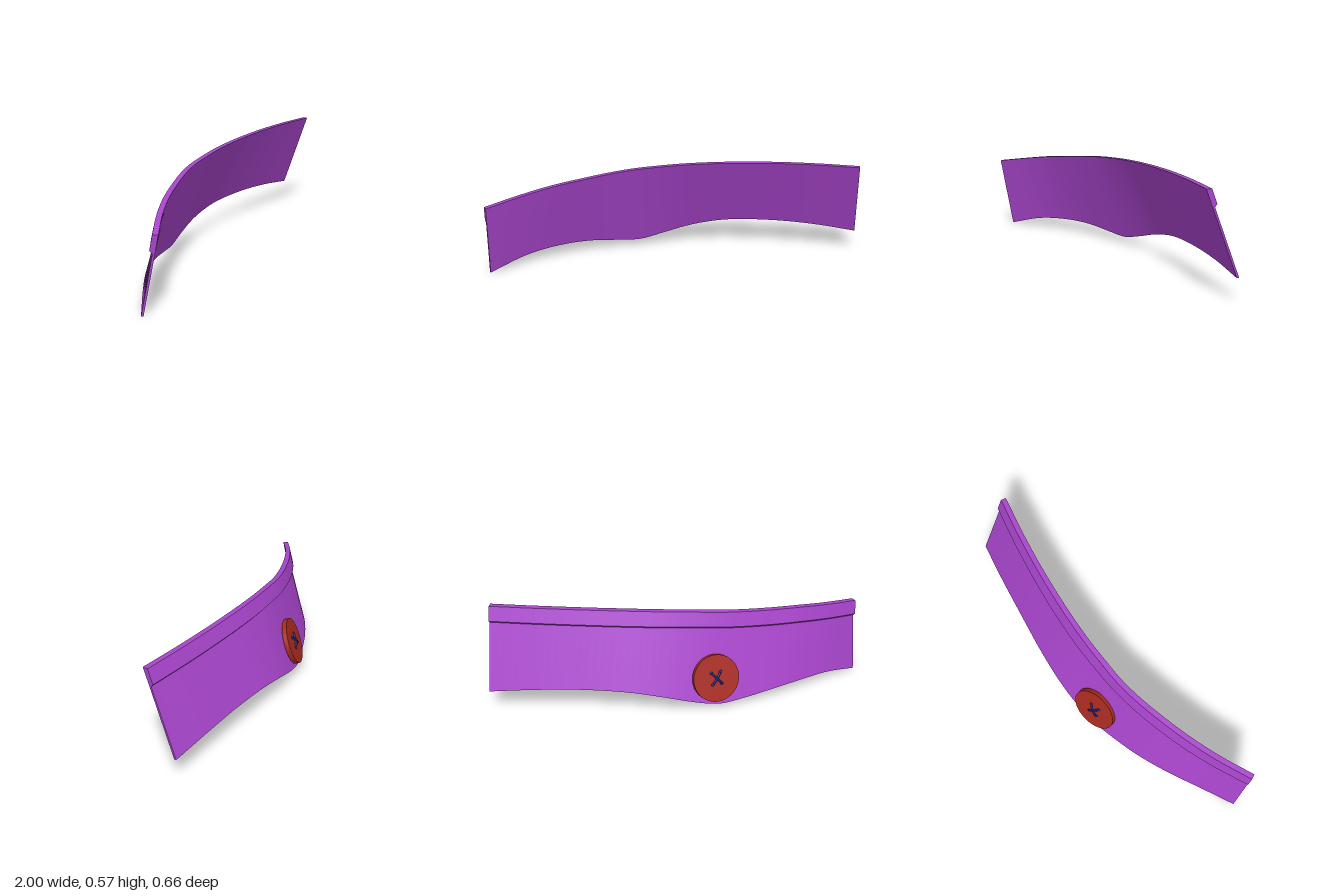
import * as THREE from 'three';
import { toCreasedNormals } from 'three/addons/utils/BufferGeometryUtils.js';

// Stations along the strap: front top edge xyz, front bottom edge xyz
const STATIONS = [
  [-0.965, 0.413, 0.328, -0.992, 0.002, 0.248],
  [-0.8, 0.447, 0.21, -0.83, 0.055, 0.115],
  [-0.65, 0.475, 0.12, -0.68, 0.072, 0.0],
  [-0.5, 0.496, 0.045, -0.52, 0.07, -0.1],
  [-0.35, 0.516, -0.02, -0.36, 0.053, -0.175],
  [-0.23, 0.53, -0.06, -0.235, 0.045, -0.225],
  [-0.1, 0.542, -0.088, -0.1, 0.077, -0.267],
  [0.05, 0.553, -0.115, 0.05, 0.12, -0.297],
  [0.25, 0.563, -0.138, 0.25, 0.157, -0.315],
  [0.5, 0.57, -0.153, 0.5, 0.167, -0.32],
  [0.75, 0.572, -0.155, 0.75, 0.156, -0.321],
  [0.992, 0.57, -0.146, 0.997, 0.13, -0.314],
];
const BODY = 0.012, BAND = 0.029, SEGMENTS = 66;

const edge = (o) => new THREE.CatmullRomCurve3(
  STATIONS.map((s) => new THREE.Vector3(s[o], s[o + 1], s[o + 2])));

// Cross-section of the strap at t: thick hem band on top, thin body below
function section(top, bottom, t) {
  const T = top.getPoint(t), B = bottom.getPoint(t);
  const back = (curve, d) => {
    const g = curve.getTangent(t);
    return new THREE.Vector3(g.z, 0, -g.x).normalize().multiplyScalar(d);
  };
  const length = T.distanceTo(B);
  const down = (d) => T.clone().lerp(B, d / length);
  return [
    T,
    T.clone().add(back(top, BAND)),
    down(0.08).add(back(top, BAND)),
    down(0.094).add(back(top, BODY)),
    B.clone().add(back(bottom, BODY)),
    B,
    down(0.094),
  ];
}

function strapGeometry() {
  const top = edge(0), bottom = edge(3), pos = [];
  const tri = (...pts) => pts.forEach((p) => pos.push(p.x, p.y, p.z));
  const rings = [];
  for (let i = 0; i <= SEGMENTS; i++) rings.push(section(top, bottom, i / SEGMENTS));
  for (let i = 0; i < SEGMENTS; i++) {
    const p = rings[i], q = rings[i + 1];
    for (let j = 0; j < p.length; j++) {
      const k = (j + 1) % p.length;
      tri(p[j], q[j], q[k]);
      tri(p[j], q[k], p[k]);
    }
  }
  // End caps
  for (const [a, b, c] of [[0, 1, 2], [0, 2, 6], [6, 2, 3], [6, 3, 4], [6, 4, 5]]) {
    const first = rings[0], last = rings[SEGMENTS];
    tri(first[a], first[b], first[c]);
    tri(last[a], last[c], last[b]);
  }
  const g = new THREE.BufferGeometry();
  g.setAttribute('position', new THREE.Float32BufferAttribute(pos, 3));
  return toCreasedNormals(g, 0.5);
}

export function createModel() {
  const model = new THREE.Group();
  const add = (parent, name, geometry, color) => {
    const mesh = new THREE.Mesh(geometry, new THREE.MeshStandardMaterial({ color }));
    mesh.name = name;
    parent.add(mesh);
    return mesh;
  };

  add(model, 'strap', strapGeometry(), 0xa845cc);

  // Button on the back; its local y axis points out of the strap
  const button = new THREE.Group();
  button.name = 'button';
  const out = new THREE.Vector3(-0.37, 0.35, -0.86).normalize();
  const across = new THREE.Vector3(0.92, 0, -0.396).addScaledVector(out, 0);
  across.addScaledVector(out, -across.dot(out)).normalize();
  const side = new THREE.Vector3().crossVectors(across, out);
  button.quaternion.setFromRotationMatrix(new THREE.Matrix4().makeBasis(across, out, side));
  button.position.set(-0.213, 0.195, -0.212);
  model.add(button);
  add(button, 'buttonDisc', new THREE.CylinderGeometry(0.129, 0.129, 0.026, 40), 0xa52a20);

  // Crossed thread stitches dipping into the button holes
  for (const sign of [-1, 1]) {
    const path = new THREE.CatmullRomCurve3([-1, -0.75, 0, 0.75, 1].map((u) =>
      new THREE.Vector3(u * 0.026, 0.02 - 0.012 * u ** 4 + (sign > 0 ? 0.003 : 0), sign * u * 0.032)));
    add(button, 'threadStitch', new THREE.TubeGeometry(path, 16, 0.006, 8), 0x1c1c80);
    for (const end of [-1, 1]) {
      const knot = add(button, 'threadEnd', new THREE.SphereGeometry(0.009, 12, 8), 0x1c1c80);
      knot.position.set(end * 0.026, 0.013, end * sign * 0.032);
      knot.scale.y = 0.6;
    }
  }
  return model;
}
